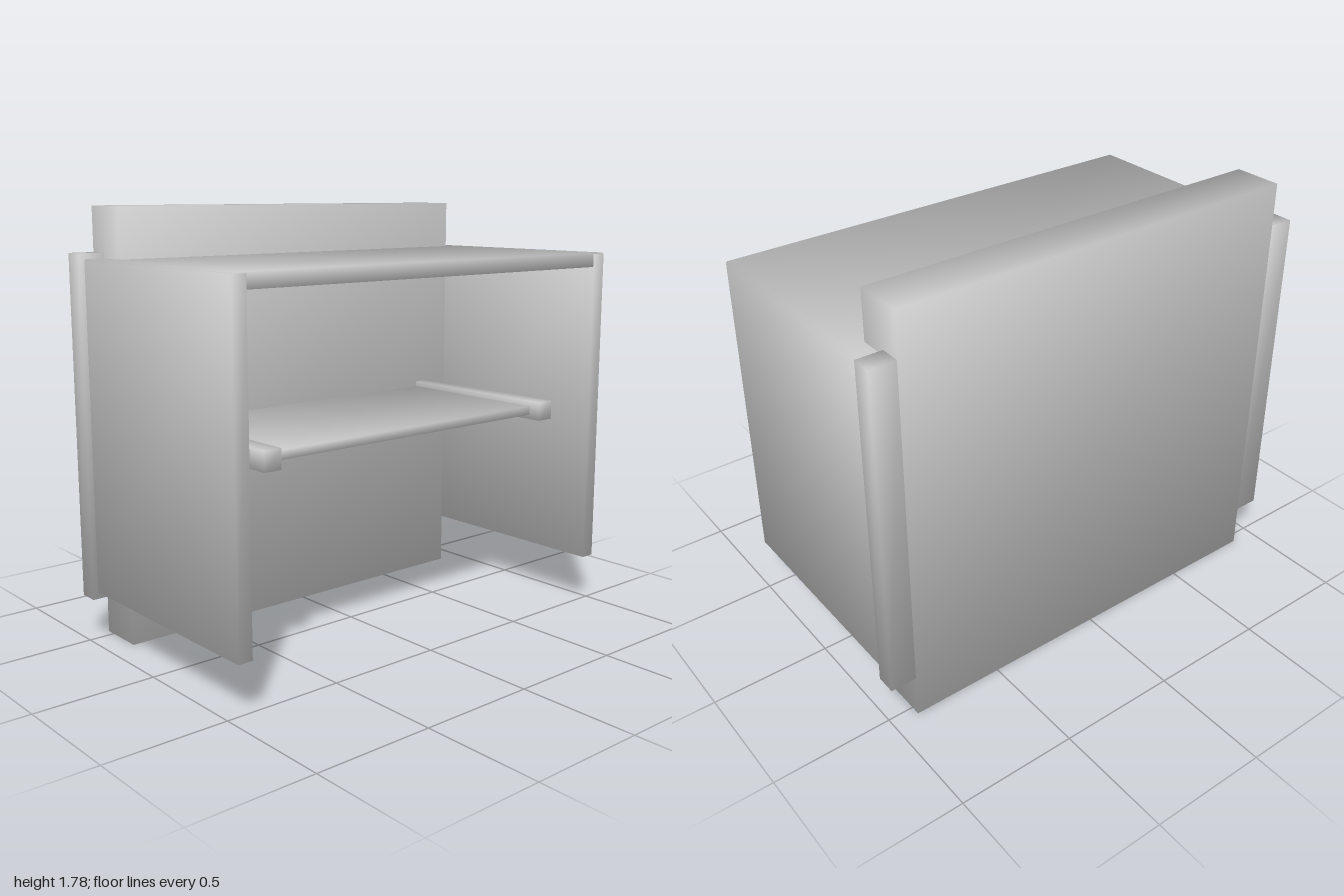
import * as THREE from 'three';

const grey = new THREE.MeshStandardMaterial({ color: 0xc8c8c8 });
grey.name = 'light grey';

// Box given by its extents, with normals shared at the corners for soft shading
function board(name, [x0, x1], [y0, y1], [z0, z1]) {
  const geometry = new THREE.BoxGeometry(x1 - x0, y1 - y0, z1 - z0);
  const p = geometry.attributes.position;
  const n = geometry.attributes.normal;
  const k = 1 / Math.sqrt(3);
  for (let i = 0; i < p.count; i++) {
    n.setXYZ(i, Math.sign(p.getX(i)) * k, Math.sign(p.getY(i)) * k, Math.sign(p.getZ(i)) * k);
  }
  const mesh = new THREE.Mesh(geometry, grey);
  mesh.name = name;
  mesh.position.set((x0 + x1) / 2, (y0 + y1) / 2, (z0 + z1) / 2);
  return mesh;
}

export function createModel() {
  const group = new THREE.Group();
  group.name = 'shelfUnit';

  // Thick back, top and inner shelf
  group.add(
    board('backPanel', [-0.89, 0.89], [0, 1.78], [-0.54, -0.335]),
    board('topPanel', [-0.974, 0.974], [1.515, 1.575], [-0.455, 0.535]),
    board('shelf', [-0.705, 0.705], [0.873, 0.91], [-0.336, 0.385]),
  );

  // Mirrored sides, rear posts and shelf arms
  for (const s of [-1, 1]) {
    const side = s < 0 ? 'right' : 'left';
    const span = (a, b) => (s < 0 ? [-b, -a] : [a, b]);
    group.add(
      board(side + 'SidePanel', span(0.915, 0.977), [0.215, 1.57], [-0.456, 0.54]),
      board(side + 'RearPost', span(0.889, 1), [0.187, 1.597], [-0.539, -0.455]),
      board(side + 'ShelfArm', span(0.703, 0.78), [0.853, 0.933], [-0.336, 0.44]),
    );
  }
  return group;
}
